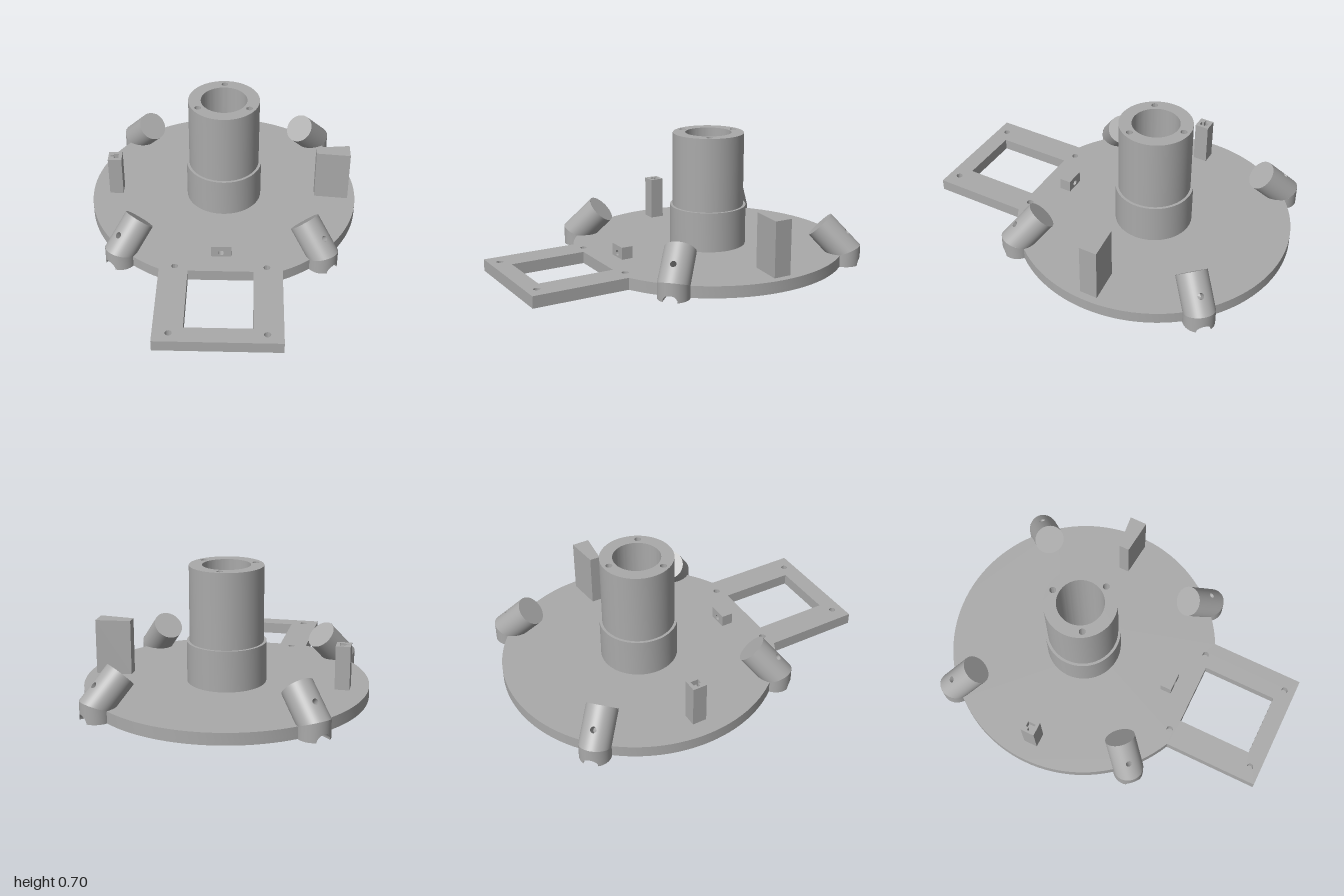
import * as THREE from 'three';
import { toCreasedNormals } from 'three/addons/utils/BufferGeometryUtils.js';
import { ParametricGeometry } from 'three/addons/geometries/ParametricGeometry.js';

const grey = new THREE.MeshStandardMaterial({ color: 0xaaaaaa, side: THREE.DoubleSide });
grey.name = 'plain grey';

const CZ = -0.23;        // z of the disc centre
const PLATE = 0.065;     // plate thickness
const BORE = 0.13;

function part(name, geometry) {
  const mesh = new THREE.Mesh(geometry, grey);
  mesh.name = name;
  return mesh;
}

// Closed outline and circular hole, drawn in plan as [x, z]
const poly = (pts, Type = THREE.Shape) => new Type(pts.map(([x, z]) => new THREE.Vector2(x, -z)));
const rect = (x0, x1, z0, z1, Type) => poly([[x0, z0], [x1, z0], [x1, z1], [x0, z1]], Type);
function circle(x, z, r, Type = THREE.Path) {
  const c = new Type();
  c.absarc(x, -z, r, 0, Math.PI * 2, false);
  return c;
}

// Plan shape raised from y0 to y1
function slab(name, shape, holes, y0, y1) {
  shape.holes = holes;
  let g = new THREE.ExtrudeGeometry(shape, { depth: y1 - y0, bevelEnabled: false, curveSegments: 48 });
  g.rotateX(-Math.PI / 2).translate(0, y0, 0);
  g = toCreasedNormals(g, 0.5);
  return part(name, g);
}

// Disc joined to the rectangular front frame
function plateOutline() {
  const R = 0.77, w = 0.335;
  const a = Math.asin(w / R);
  const s = new THREE.Shape();
  s.moveTo(-w, -1);
  s.lineTo(w, -1);
  s.absarc(0, -CZ, R, -Math.PI / 2 + a, Math.PI * 1.5 - a, false);
  s.closePath();
  return s;
}

// Elbow-shaped socket; local +x points outward from the disc centre
function createSocket() {
  const socket = new THREE.Group();
  socket.name = 'angledSocket';
  const r = 0.085, ex = 0.783, ey = 0.072, L = 0.2, k = Math.SQRT1_2, mitre = Math.SQRT2 - 1;
  const lerp = THREE.MathUtils.lerp;
  const surface = (name, fn, nu, nv) => socket.add(part(name, new ParametricGeometry(fn, nu, nv)));

  // Point on the tilted sleeve at angle t, distance s along it, sunk by d
  const onSleeve = (t, s, d, p) => {
    const n = r * Math.cos(t) - d;
    p.set(ex + k * (n - s), ey + k * (n + s), r * Math.sin(t));
  };
  const joint = t => -mitre * r * Math.cos(t);

  // Sleeve in patches around the screw hole
  const a = 0.3, sc = 0.072, h = a * r, hole = 0.017;
  const patch = (t0, t1, from, to, nu) => surface('sleeve', (u, v, p) => {
    const t = lerp(t0, t1, u);
    onSleeve(t, lerp(from(t), to(t), v), 0, p);
  }, nu, 2);
  patch(a, Math.PI * 2 - a, joint, () => L, 44);
  patch(-a, a, joint, () => sc - h, 6);
  patch(-a, a, () => sc + h, () => L, 6);
  surface('sleeve', (u, v, p) => {
    const q = u * Math.PI * 2, c = Math.cos(q), s = Math.sin(q);
    const edge = h / Math.max(Math.abs(c), Math.abs(s));
    const rad = lerp(hole, edge, v);
    onSleeve(rad * c / r, sc + rad * s, 0, p);
  }, 32, 3);
  surface('screwHole', (u, v, p) => {
    const q = u * Math.PI * 2;
    onSleeve(hole * Math.cos(q) / r, sc + hole * Math.sin(q), v * 0.06, p);
  }, 24, 1);

  // Slanted end of the sleeve
  const cap = part('sleeveEnd', new THREE.CircleGeometry(r, 48));
  cap.position.set(ex - k * L, ey + k * L, 0);
  cap.lookAt(ex - k * L - 1, ey + k * L + 1, 0);
  socket.add(cap);

  // Upright foot with an arched notch on its outer side
  const rn = 0.04, back = 0.772;
  surface('foot', (u, v, p) => {
    const t = u * Math.PI * 2, c = r * Math.cos(t), z = r * Math.sin(t);
    const low = c > 0 ? Math.sqrt(Math.max(0, rn * rn - z * z)) : 0;
    p.set(ex + c, lerp(low, ey + mitre * c, v), z);
  }, 96, 2);
  surface('notch', (u, v, p) => {
    const z = rn * Math.cos(u * Math.PI);
    p.set(lerp(back, ex + Math.sqrt(r * r - z * z), v), rn * Math.sin(u * Math.PI), z);
  }, 24, 1);
  const wall = part('notchBack', new THREE.CircleGeometry(rn, 24, 0, Math.PI));
  wall.rotation.y = Math.PI / 2;
  wall.position.x = back;
  socket.add(wall);

  // Sole on each side of the notch
  for (const side of [-1, 1]) {
    surface('sole', (u, v, p) => {
      const z = lerp(rn, r, u);
      p.set(lerp(0.76, ex + Math.sqrt(Math.max(0, r * r - z * z)), v), 0, side * z);
    }, 12, 1);
  }
  return socket;
}

export function createModel() {
  const model = new THREE.Group();
  model.name = 'mountingBase';

  // Base plate: solid lower layer, upper layer with blind screw holes
  const openings = () => [circle(0, CZ, BORE), rect(-0.178, 0.178, 0.475, 0.9, THREE.Path)];
  const screws = [];
  for (const x of [-0.25, 0.25]) for (const z of [0.44, 0.94]) screws.push(circle(x, z, 0.018));
  model.add(slab('plateBottom', plateOutline(), openings(), 0, 0.015));
  model.add(slab('plateTop', plateOutline(), [...openings(), ...screws], 0.015, PLATE));

  // Central tower with a collar and three screw holes
  const towerHoles = [circle(0, CZ, BORE)];
  for (let i = 0; i < 3; i++) {
    const t = -Math.PI / 2 + i * Math.PI * 2 / 3;
    towerHoles.push(circle(0.165 * Math.cos(t), CZ + 0.165 * Math.sin(t), 0.018));
  }
  model.add(slab('tower', circle(0, CZ, 0.2, THREE.Shape), towerHoles, PLATE, 0.705));
  model.add(slab('collar', circle(0, CZ, 0.215, THREE.Shape), [circle(0, CZ, 0.199)], PLATE, 0.29));

  // Four angled sockets around the rim
  for (let i = 0; i < 4; i++) {
    const socket = createSocket();
    socket.position.z = CZ;
    socket.rotation.y = Math.PI / 4 + i * Math.PI / 2;
    model.add(socket);
  }

  // Slim post with a T-shaped recess in its top
  const recess = poly([[-0.66, -0.242], [-0.642, -0.242], [-0.642, -0.257], [-0.613, -0.257],
    [-0.613, -0.213], [-0.642, -0.213], [-0.642, -0.228], [-0.66, -0.228]], THREE.Path);
  model.add(slab('slimPost', rect(-0.672, -0.593, -0.275, -0.195), [], PLATE, 0.25));
  model.add(slab('slimPostTop', rect(-0.672, -0.593, -0.275, -0.195), [recess], 0.25, 0.305));

  // Tall wedge-shaped post
  model.add(slab('wedgePost', poly([[0.532, -0.26], [0.725, -0.28], [0.725, -0.18], [0.532, -0.2]]), [], PLATE, 0.37));

  // Small front block with a hole through it
  const face = new THREE.Shape([[-0.056, 0.065], [0.055, 0.065], [0.055, 0.133], [-0.056, 0.133]]
    .map(([x, y]) => new THREE.Vector2(x, y)));
  face.holes.push(circle(0, -0.09, 0.016));
  const block = new THREE.ExtrudeGeometry(face, { depth: 0.065, bevelEnabled: false, curveSegments: 24 });
  block.translate(0, 0, 0.29);
  model.add(part('frontBlock', toCreasedNormals(block, 0.5)));

  return model;
}
